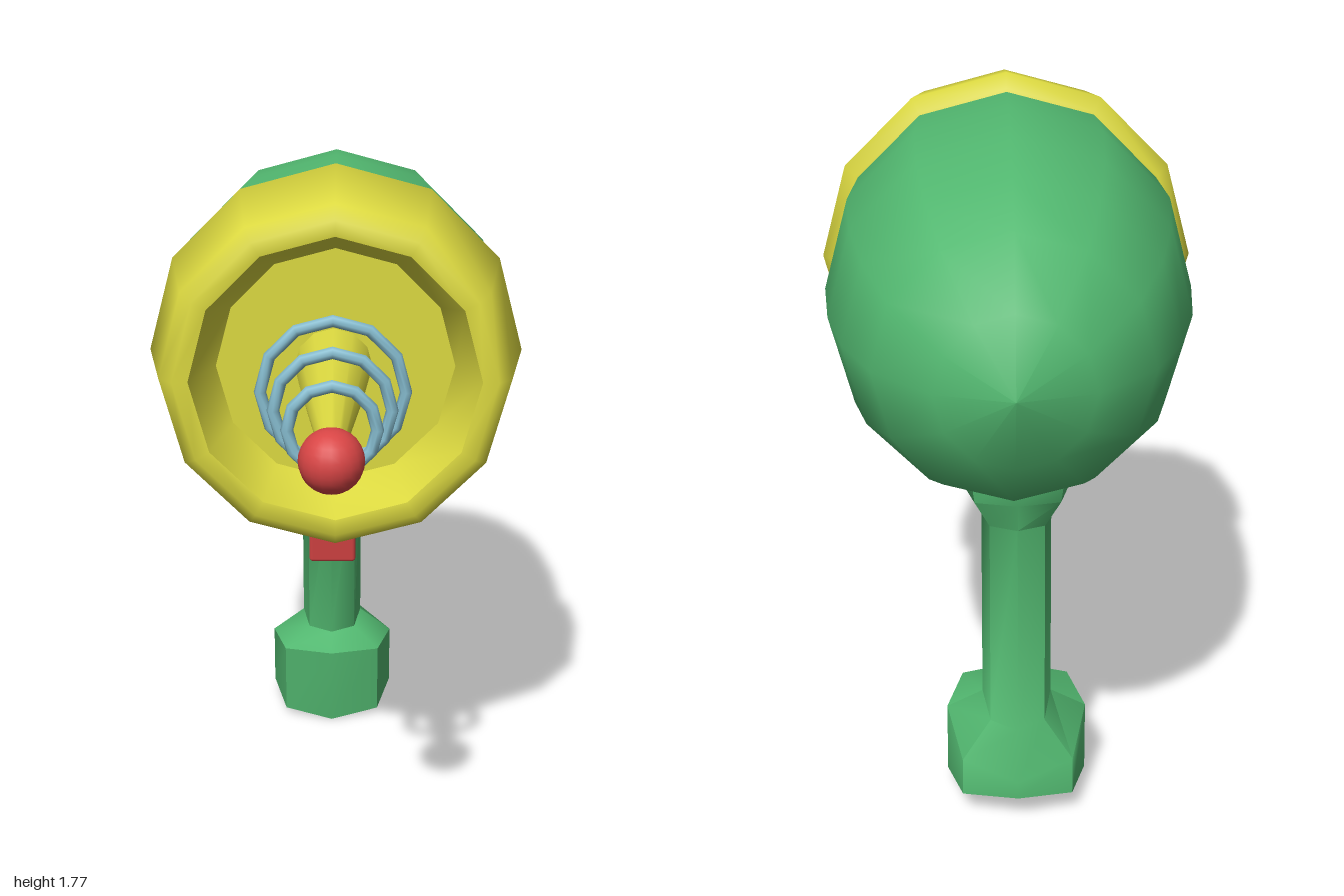
import * as THREE from 'three';
import { toCreasedNormals } from 'three/addons/utils/BufferGeometryUtils.js';
import { RoundedBoxGeometry } from 'three/addons/geometries/RoundedBoxGeometry.js';

const AXIS_Y = 1.287;
const paint = (color) => new THREE.MeshStandardMaterial({ color });
const green = paint(0x52b870), yellow = paint(0xdcd940), blue = paint(0x86bccf), red = paint(0xd84545);

function part(group, name, geometry, material, x = 0, y = 0, z = 0) {
  const mesh = new THREE.Mesh(geometry, material);
  mesh.name = name;
  mesh.position.set(x, y, z);
  group.add(mesh);
  return mesh;
}

// Turned shape along z, from [radius, z] pairs
function turned(profile, sides, crease) {
  const g = new THREE.LatheGeometry(profile.map(([r, z]) => new THREE.Vector2(r, z)), sides);
  g.rotateX(Math.PI / 2);
  return crease ? toCreasedNormals(g, crease) : g;
}

// Grip skinned over eight-sided rings: [zFront, yFront, zBack, yBack, halfWidth, ySide]
function gripGeometry(sections) {
  const N = 8, pos = [], idx = [];
  for (const [zF, yF, zB, yB, w, yS] of sections) {
    for (let i = 0; i < N; i++) {
      const a = (i / N) * Math.PI * 2;
      const k = i % 2 ? 1.1 : 1; // fuller corners
      const c = Math.cos(a) * k, s = Math.sin(a) * k;
      const y = yS + c * c * ((c > 0 ? yF : yB) - yS);
      pos.push(w * s, y, (zF + zB) / 2 + c * (zF - zB) / 2);
    }
  }
  for (let j = 0; j < sections.length - 1; j++) {
    for (let i = 0; i < N; i++) {
      const a = j * N + i, b = j * N + (i + 1) % N, c = a + N, d = b + N;
      idx.push(a, c, b, b, c, d);
    }
  }
  // underside
  const last = (sections.length - 1) * N, [zF, yF, zB, yB] = sections[sections.length - 1];
  pos.push(0, (yF + yB) / 2, (zF + zB) / 2);
  for (let i = 0; i < N; i++) idx.push(last + i, last + N, last + (i + 1) % N);
  const g = new THREE.BufferGeometry();
  g.setAttribute('position', new THREE.Float32BufferAttribute(pos, 3));
  g.setIndex(idx);
  return toCreasedNormals(g, 0.95);
}

export function createModel() {
  const model = new THREE.Group();
  model.name = 'rayBlaster';

  // Egg-shaped body
  part(model, 'body', turned([
    [0, -1], [0.18, -0.95], [0.32, -0.81], [0.395, -0.64], [0.44, -0.45],
    [0.462, -0.23], [0.447, 0], [0.44, 0.03],
  ], 12), green, 0, AXIS_Y, 0);

  // Collar with a recessed front
  part(model, 'collar', turned([
    [0.3, 0], [0.455, 0], [0.488, 0.045], [0.44, 0.315], [0.405, 0.35],
    [0.365, 0.345], [0.305, 0.2], [0, 0.2],
  ], 12, 1.0), yellow, 0, AXIS_Y, 0);

  // Tapered emitter, floating rings and tip ball
  part(model, 'emitter', turned([[0.1, 0.19], [0.085, 0.35], [0.022, 0.9]], 12), yellow, -0.005, AXIS_Y, 0);
  for (const [z, r] of [[0.43, 0.192], [0.575, 0.155], [0.717, 0.118]]) {
    part(model, 'emitterRing', new THREE.TorusGeometry(r - 0.015, 0.015, 8, 12), blue, -0.005, AXIS_Y + 0.003, z);
  }
  part(model, 'tipBall', new THREE.SphereGeometry(0.073, 20, 14), red, -0.005, AXIS_Y + 0.003, 0.927);

  // Raked grip with flared top and wide foot
  part(model, 'grip', gripGeometry([
    [-0.28, 0.95, -0.64, 0.95, 0.15, 0.95],
    [-0.28, 0.84, -0.64, 0.87, 0.135, 0.85],
    [-0.325, 0.79, -0.59, 0.78, 0.088, 0.78],
    [-0.375, 0.27, -0.655, 0.25, 0.088, 0.285],
    [-0.295, 0.235, -0.693, 0.12, 0.18, 0.225],
    [-0.32, 0, -0.695, 0.075, 0.18, 0.045],
  ]), green, -0.015, 0, 0);

  // Trigger
  const trigger = part(model, 'trigger', new RoundedBoxGeometry(0.135, 0.2, 0.12, 2, 0.01), red, -0.012, 0.655, -0.31);
  trigger.rotation.x = 0.13;

  return model;
}
